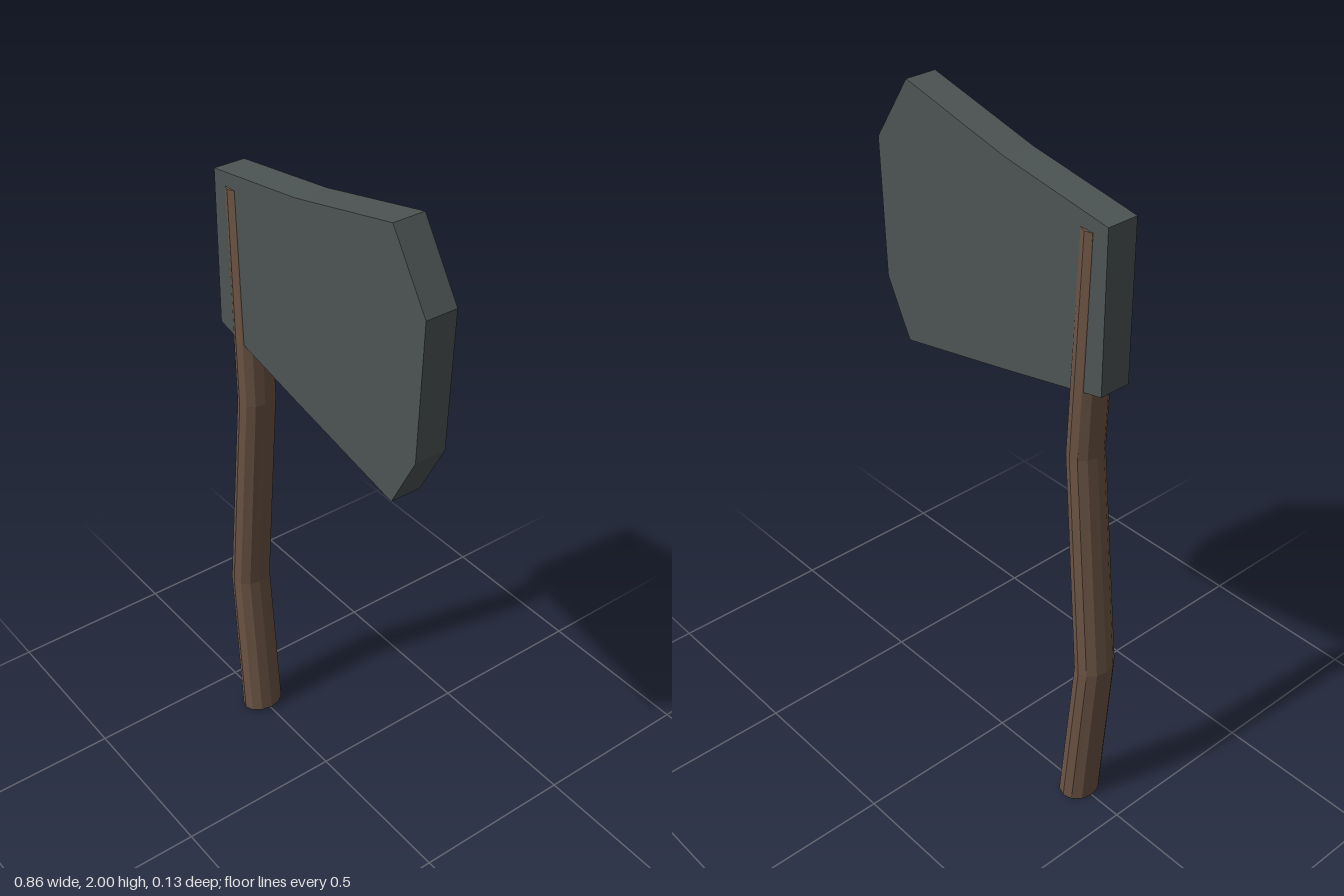
import * as THREE from 'three';

const wood = new THREE.MeshStandardMaterial({ name: 'brown wood', color: 0x6b5444, flatShading: true });
const metal = new THREE.MeshStandardMaterial({ name: 'dark steel', color: 0x4d5454, flatShading: true });

// Bent shaft: oval rings [centre x, centre y, half width x, half depth z, ring slope]
function handleGeometry(rings, sides) {
  const positions = [];
  const index = [];
  for (const [cx, cy, rx, rz, slope] of rings) {
    for (let i = 0; i < sides; i++) {
      const a = (i / sides) * Math.PI * 2;
      const dx = Math.sin(a) * rx;
      positions.push(cx + dx, cy + dx * slope, Math.cos(a) * rz);
    }
  }
  const last = rings.length - 1;
  for (let r = 0; r < last; r++) {
    for (let i = 0; i < sides; i++) {
      const a = r * sides + i;
      const b = r * sides + (i + 1) % sides;
      index.push(a, b, b + sides, a, b + sides, a + sides);
    }
  }
  // End caps
  for (let i = 1; i < sides - 1; i++) {
    index.push(0, i + 1, i);
    index.push(last * sides, last * sides + i, last * sides + i + 1);
  }
  const geometry = new THREE.BufferGeometry();
  geometry.setAttribute('position', new THREE.Float32BufferAttribute(positions, 3));
  geometry.setIndex(index);
  geometry.computeVertexNormals();
  return geometry;
}

export function createModel() {
  const model = new THREE.Group();
  model.name = 'axe';

  // Crooked wooden handle, passing through the head
  const handle = new THREE.Mesh(handleGeometry([
    [-0.343, 0.005, 0.052, 0.065, 0.08],
    [-0.383, 0.51, 0.048, 0.062, 0],
    [-0.319, 1.19, 0.042, 0.058, 0.03],
    [-0.342, 1.83, 0.04, 0.055, 0.04],
  ], 12), wood);
  handle.name = 'handle';
  model.add(handle);

  // Flared slab head
  const outline = [
    [-0.41, 1.41], [-0.06, 1.33], [0.33, 1.245], [0.415, 1.41],
    [0.43, 1.81], [0.305, 2.0], [-0.06, 1.915], [-0.41, 1.86],
  ].map(([x, y]) => new THREE.Vector2(x, y));
  const depth = 0.093;
  const geometry = new THREE.ExtrudeGeometry(new THREE.Shape(outline), { depth, bevelEnabled: false });
  geometry.translate(0, 0, -depth / 2);
  const head = new THREE.Mesh(geometry, metal);
  head.name = 'axeHead';
  model.add(head);

  return model;
}
